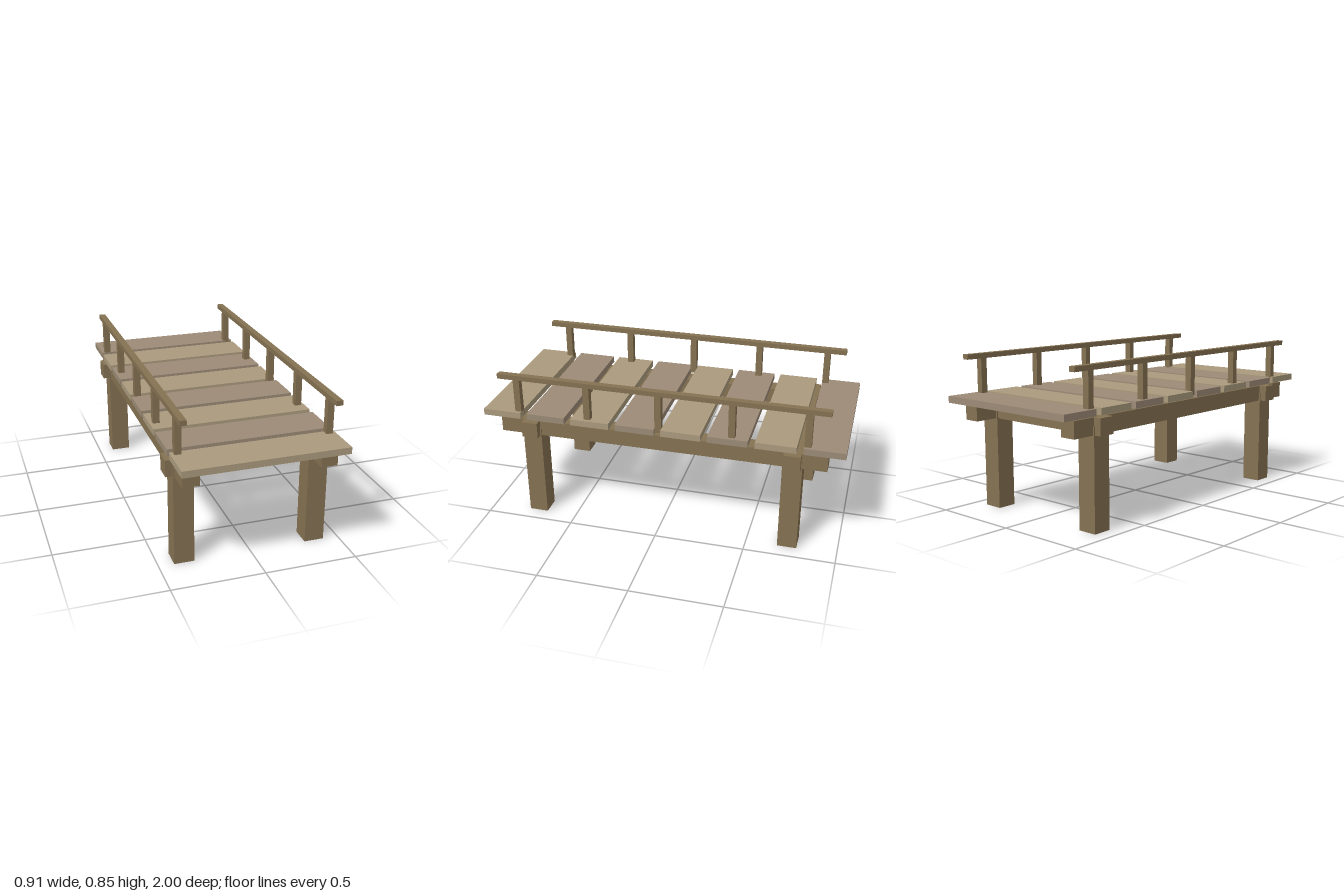
import * as THREE from 'three';

const timber = new THREE.MeshStandardMaterial({ color: 0x857252 });
const plankLight = new THREE.MeshStandardMaterial({ color: 0xab9b7e });
const plankDark = new THREE.MeshStandardMaterial({ color: 0x9c8b76 });

// Box of size w, h, d whose underside sits at height y
function addBox(parent, name, material, [w, h, d], [x, y, z]) {
  const mesh = new THREE.Mesh(new THREE.BoxGeometry(w, h, d), material);
  mesh.name = name;
  mesh.position.set(x, y + h / 2, z);
  parent.add(mesh);
}

export function createModel() {
  const bridge = new THREE.Group();
  bridge.name = 'woodenFootbridge';

  // Deck planks in alternating tones
  const deck = new THREE.Group();
  deck.name = 'deck';
  const count = 8, depth = 0.218, pitch = (2 - depth) / (count - 1);
  for (let i = 0; i < count; i++) {
    addBox(deck, 'plank', i % 2 ? plankLight : plankDark,
      [0.872, 0.036, depth], [0, 0.6, -1 + depth / 2 + i * pitch]);
  }
  bridge.add(deck);

  // Legs, and cross beams tying each pair
  const frame = new THREE.Group();
  frame.name = 'frame';
  for (const z of [-0.727, 0.727]) {
    for (const x of [-0.363, 0.363]) {
      addBox(frame, 'leg', timber, [0.108, 0.546, 0.106], [x, 0, z]);
    }
    addBox(frame, 'crossBeam', timber, [0.906, 0.09, 0.091], [0, 0.5, z]);
  }

  // Long beams under the deck
  for (const x of [-0.364, 0.364]) {
    addBox(frame, 'longBeam', timber, [0.09, 0.09, 1.818], [x, 0.5, 0]);
  }
  bridge.add(frame);

  // Railing on each side
  for (const side of [-1, 1]) {
    const railing = new THREE.Group();
    railing.name = side > 0 ? 'leftRailing' : 'rightRailing';
    const x = side * 0.4;
    addBox(railing, 'handrail', timber, [0.036, 0.027, 1.818], [x, 0.824, 0]);
    for (let i = -2; i <= 2; i++) {
      addBox(railing, 'railPost', timber, [0.036, 0.214, 0.036], [x, 0.61, i * 0.4]);
    }
    bridge.add(railing);
  }

  return bridge;
}
